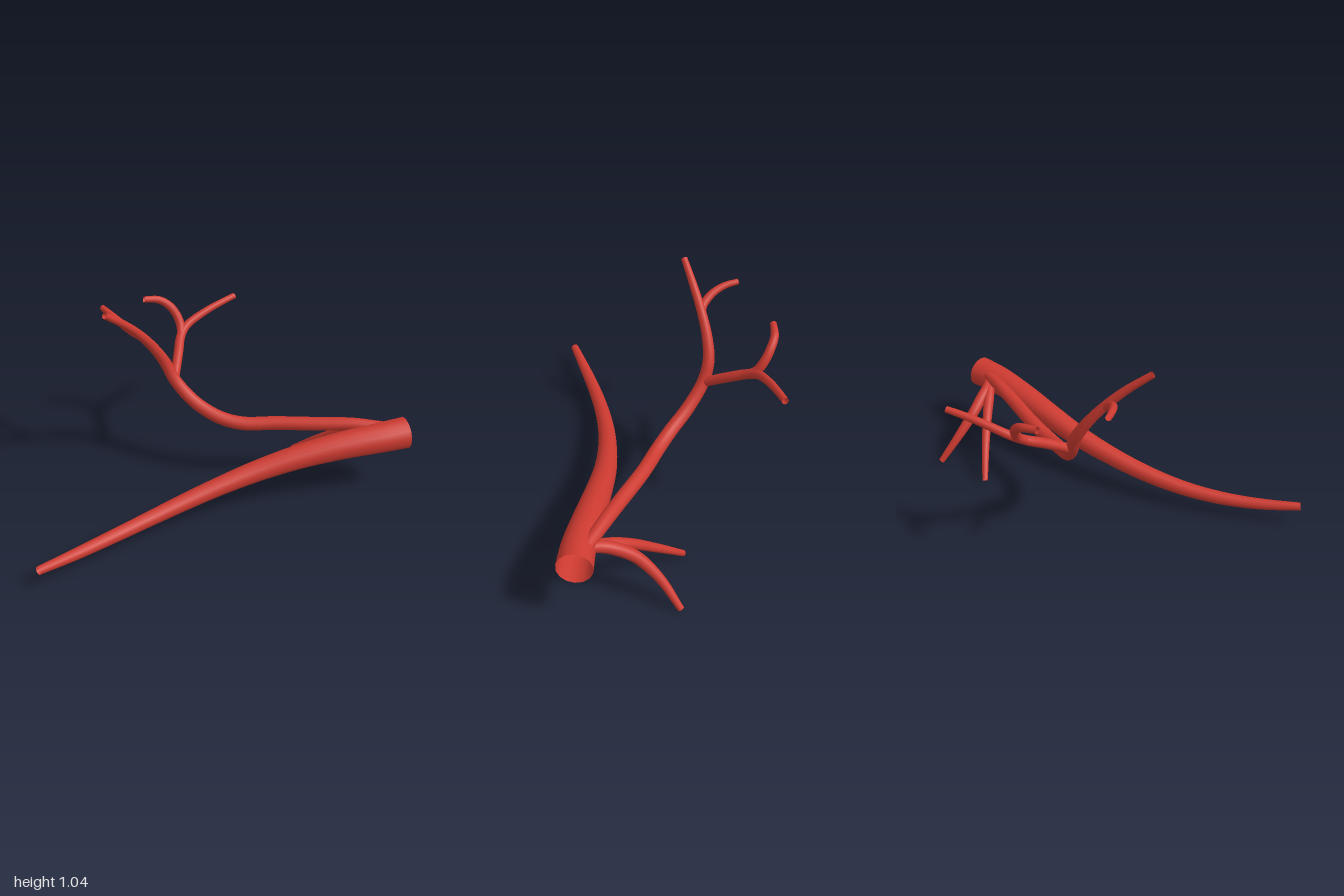
import * as THREE from 'three';

const SIDES = 14;

// Open tube through the points; radii are spaced evenly along its length
function taperedTube(name, points, radii, material, segments = 40) {
  const curve = new THREE.CatmullRomCurve3(points.map((p) => new THREE.Vector3(...p)), false, 'centripetal');
  const geometry = new THREE.TubeGeometry(curve, segments, 1, SIDES, false);
  const pos = geometry.attributes.position;
  const v = new THREE.Vector3();
  for (let i = 0; i <= segments; i++) {
    const u = i / segments;
    const centre = curve.getPointAt(u);
    const t = u * (radii.length - 1);
    const k = Math.min(Math.floor(t), radii.length - 2);
    const r = THREE.MathUtils.lerp(radii[k], radii[k + 1], t - k);
    for (let j = 0; j <= SIDES; j++) {
      const n = i * (SIDES + 1) + j;
      v.fromBufferAttribute(pos, n).sub(centre).multiplyScalar(r).add(centre);
      pos.setXYZ(n, v.x, v.y, v.z);
    }
  }
  const mesh = new THREE.Mesh(geometry, material);
  mesh.name = name;
  return mesh;
}

export function createModel() {
  const group = new THREE.Group();
  group.name = 'branchingVessel';
  const red = new THREE.MeshStandardMaterial({ color: 0xcc3a30, side: THREE.DoubleSide });
  red.name = 'vesselRed';
  const add = (...args) => group.add(taperedTube(args[0], args[1], args[2], red, args[3]));

  // Long main vessel, wide open end first
  add('mainTrunk', [
    [0.925, 0.352, 0.545], [0.8, 0.345, 0.502], [0.6, 0.32, 0.413], [0.4, 0.28, 0.325],
    [0.2, 0.231, 0.25], [0, 0.186, 0.198], [-0.2, 0.146, 0.163], [-0.4, 0.117, 0.145],
    [-0.6, 0.104, 0.143], [-0.8, 0.107, 0.155], [-1, 0.125, 0.175],
  ], [0.083, 0.077, 0.07, 0.062, 0.055, 0.048, 0.043, 0.038, 0.034, 0.029, 0.021], 48);

  // Rising branch that sweeps back and up
  add('upperBranch', [
    [0.84, 0.378, 0.475], [0.72, 0.385, 0.37], [0.6, 0.376, 0.27], [0.42, 0.364, 0.115],
    [0.28, 0.358, 0.01], [0.19, 0.385, -0.08], [0.115, 0.45, -0.19], [0.06, 0.55, -0.28],
    [0.025, 0.65, -0.318], [-0.035, 0.75, -0.326], [-0.115, 0.85, -0.318],
    [-0.21, 0.945, -0.303], [-0.328, 1.04, -0.286],
  ], [0.03, 0.034, 0.036, 0.036, 0.036, 0.035, 0.033, 0.03, 0.025, 0.021, 0.016], 64);

  // Twigs of the rising branch
  add('backTwig', [
    [-0.12, 0.85, -0.318], [-0.15, 0.875, -0.34], [-0.182, 0.91, -0.395],
    [-0.199, 0.932, -0.46], [-0.205, 0.941, -0.53],
  ], [0.021, 0.021, 0.018, 0.015], 24);
  add('sideTwig', [
    [0.055, 0.55, -0.28], [0.15, 0.632, -0.383], [0.215, 0.683, -0.455], [0.275, 0.715, -0.486],
    [0.4, 0.757, -0.494], [0.5, 0.781, -0.493], [0.59, 0.797, -0.492],
  ], [0.024, 0.025, 0.025, 0.022, 0.02, 0.018, 0.016], 36);
  add('curledTwig', [
    [0.215, 0.683, -0.455], [0.238, 0.715, -0.49], [0.238, 0.765, -0.525],
    [0.215, 0.815, -0.56], [0.17, 0.85, -0.593], [0.09, 0.867, -0.615],
  ], [0.022, 0.023, 0.022, 0.02, 0.016], 32);

  // Two short branches dropping behind the wide end
  add('lowerInnerBranch', [
    [0.83, 0.365, 0.47], [0.8, 0.335, 0.39], [0.762, 0.265, 0.265],
    [0.72, 0.16, 0.13], [0.667, 0.03, -0.017],
  ], [0.026, 0.028, 0.024, 0.02, 0.015], 32);
  add('lowerOuterBranch', [
    [0.83, 0.365, 0.475], [0.82, 0.345, 0.41], [0.826, 0.317, 0.34], [0.845, 0.257, 0.25],
    [0.9, 0.15, 0.158], [0.978, 0.018, 0.083],
  ], [0.028, 0.03, 0.028, 0.022, 0.016], 36);

  return group;
}
